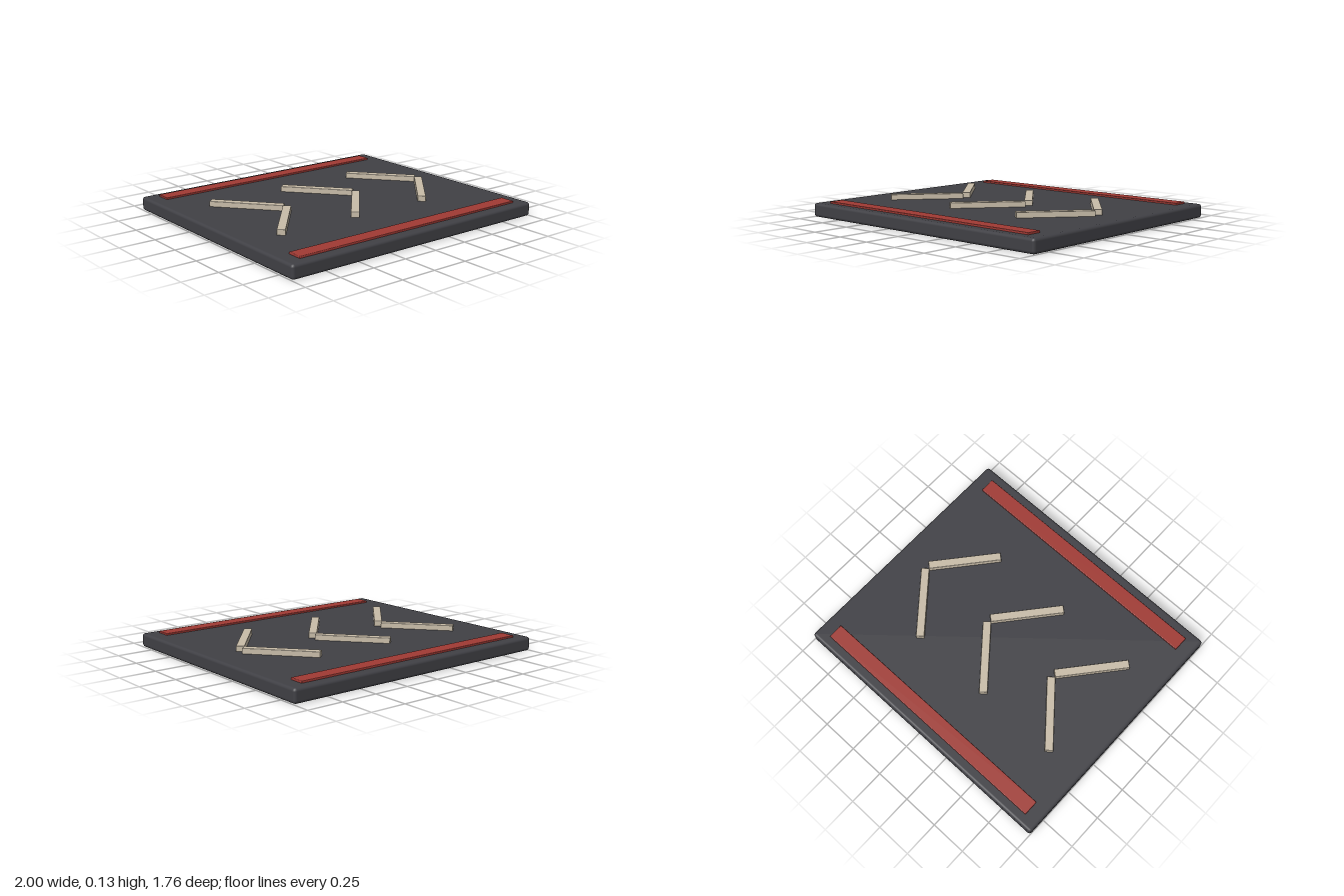
import * as THREE from 'three';
import { RoundedBoxGeometry } from 'three/addons/geometries/RoundedBoxGeometry.js';

export function createModel() {
  const model = new THREE.Group();
  model.name = 'directionPad';

  const material = (name, color) => {
    const m = new THREE.MeshStandardMaterial({ color });
    m.name = name;
    return m;
  };
  const charcoal = material('charcoal', 0x404045);
  const red = material('red', 0xa03a34);
  const cream = material('cream', 0xc8bca8);

  // Box with softened edges, standing between two heights
  const slab = (name, mat, [w, d], [y0, y1], bevel, parent = model) => {
    const mesh = new THREE.Mesh(new RoundedBoxGeometry(w, y1 - y0, d, 2, bevel), mat);
    mesh.name = name;
    mesh.position.y = (y0 + y1) / 2;
    parent.add(mesh);
    return mesh;
  };

  // Base plate
  slab('basePlate', charcoal, [2, 1.76], [0, 0.095], 0.02);

  // Edge stripes along front and back
  for (const side of [1, -1]) {
    const stripe = slab(side > 0 ? 'frontStripe' : 'backStripe', red, [1.8, 0.106], [0.085, 0.108], 0.005);
    stripe.position.z = side * 0.761;
  }

  // Three raised chevrons pointing to +x, each of two mirrored arms
  for (let i = -1; i <= 1; i++) {
    const chevron = new THREE.Group();
    chevron.name = `chevron${i + 2}`;
    chevron.position.x = 0.013 + i * 0.587;
    for (const side of [1, -1]) {
      const arm = slab(side > 0 ? 'frontArm' : 'backArm', cream, [0.507, 0.056], [0.085, 0.132], 0.004, chevron);
      arm.position.z = side * 0.211;
      arm.rotation.y = side * THREE.MathUtils.degToRad(50);
    }
    model.add(chevron);
  }

  return model;
}
